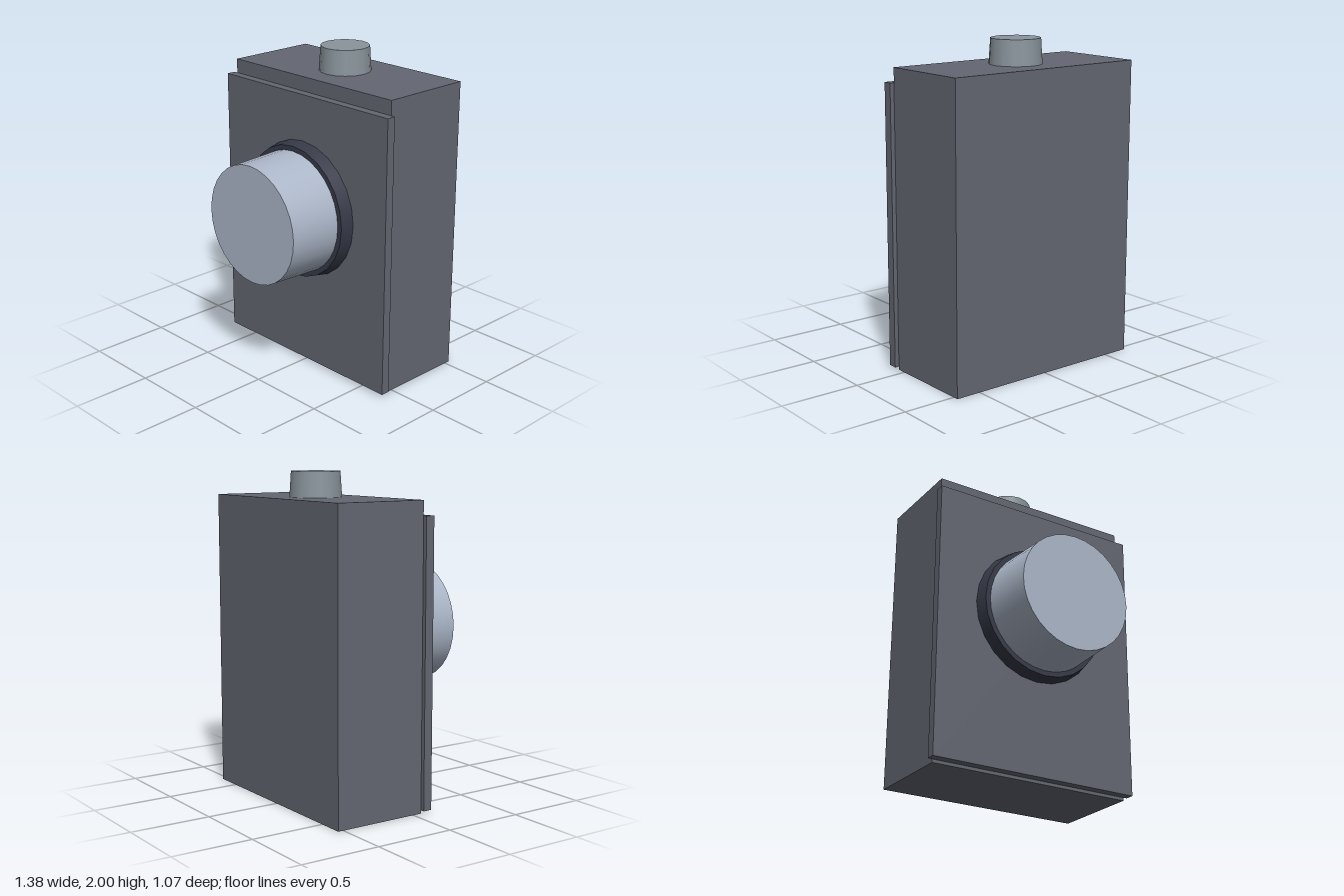
import * as THREE from 'three';

const flat = (name, color) => {
  const m = new THREE.MeshStandardMaterial({ color });
  m.name = name;
  return m;
};

export function createModel() {
  const group = new THREE.Group();
  const housing = flat('slate grey', 0x646772);
  const collar = flat('dark navy', 0x363a48);
  const knob = flat('pale blue grey', 0xacb7c9);
  const button = flat('steel grey', 0x89949b);

  const add = (name, geometry, material) => {
    const mesh = new THREE.Mesh(geometry, material);
    mesh.name = name;
    group.add(mesh);
  };

  // Box between two corners
  const box = (name, [x0, y0, z0], [x1, y1, z1], material) =>
    add(name, new THREE.BoxGeometry(x1 - x0, y1 - y0, z1 - z0)
      .translate((x0 + x1) / 2, (y0 + y1) / 2, (z0 + z1) / 2), material);

  // Tapered disc pointing forward from the front plate
  const frontDisc = (name, rFront, rBack, z0, z1, sides, material) =>
    add(name, new THREE.CylinderGeometry(rFront, rBack, z1 - z0, sides)
      .rotateX(Math.PI / 2).translate(0, 1.04, (z0 + z1) / 2), material);

  // Housing and its overhanging front plate
  box('housing', [-0.663, 0, -0.535], [0.663, 1.846, 0.057], housing);
  box('frontPlate', [-0.69, 0.02, 0.057], [0.69, 1.757, 0.113], housing);

  // Dial: dark collar and pale knob
  frontDisc('dialCollar', 0.415, 0.43, 0.113, 0.195, 24, collar);
  frontDisc('dialKnob', 0.369, 0.385, 0.15, 0.535, 32, knob);

  // Push button on the top
  add('topButton', new THREE.CylinderGeometry(0.15, 0.16, 0.154, 16)
    .translate(0, 1.923, -0.24), button);

  return group;
}
